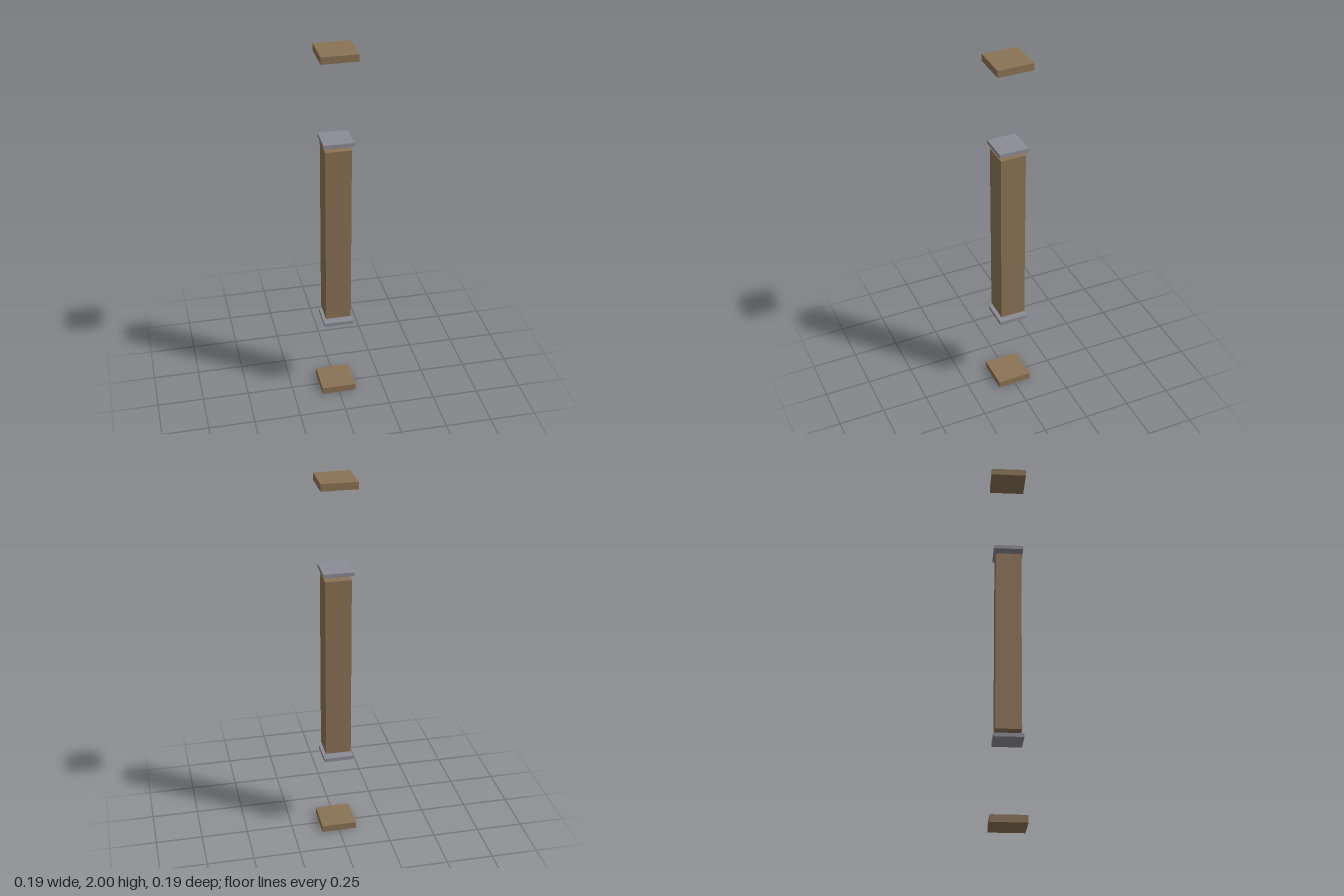
import * as THREE from 'three';

export function createModel() {
  const group = new THREE.Group();
  const wood = new THREE.MeshStandardMaterial({ color: 0x8b7355, flatShading: true });
  const metal = new THREE.MeshStandardMaterial({ color: 0x8c8c94, flatShading: true });

  // Square slab between two heights
  function slab(name, width, bottom, top, material) {
    const mesh = new THREE.Mesh(new THREE.BoxGeometry(width, top - bottom, width), material);
    mesh.position.y = (bottom + top) / 2;
    mesh.name = name;
    group.add(mesh);
  }

  // Column pieces, spaced apart from bottom to top
  slab('basePlinth', 0.188, 0, 0.038, wood);
  slab('lowerCollar', 0.156, 0.441, 0.461, metal);
  slab('shaft', 0.136, 0.486, 1.483, wood);
  slab('upperCollar', 0.156, 1.508, 1.528, metal);
  slab('topCap', 0.188, 1.963, 2, wood);

  return group;
}
